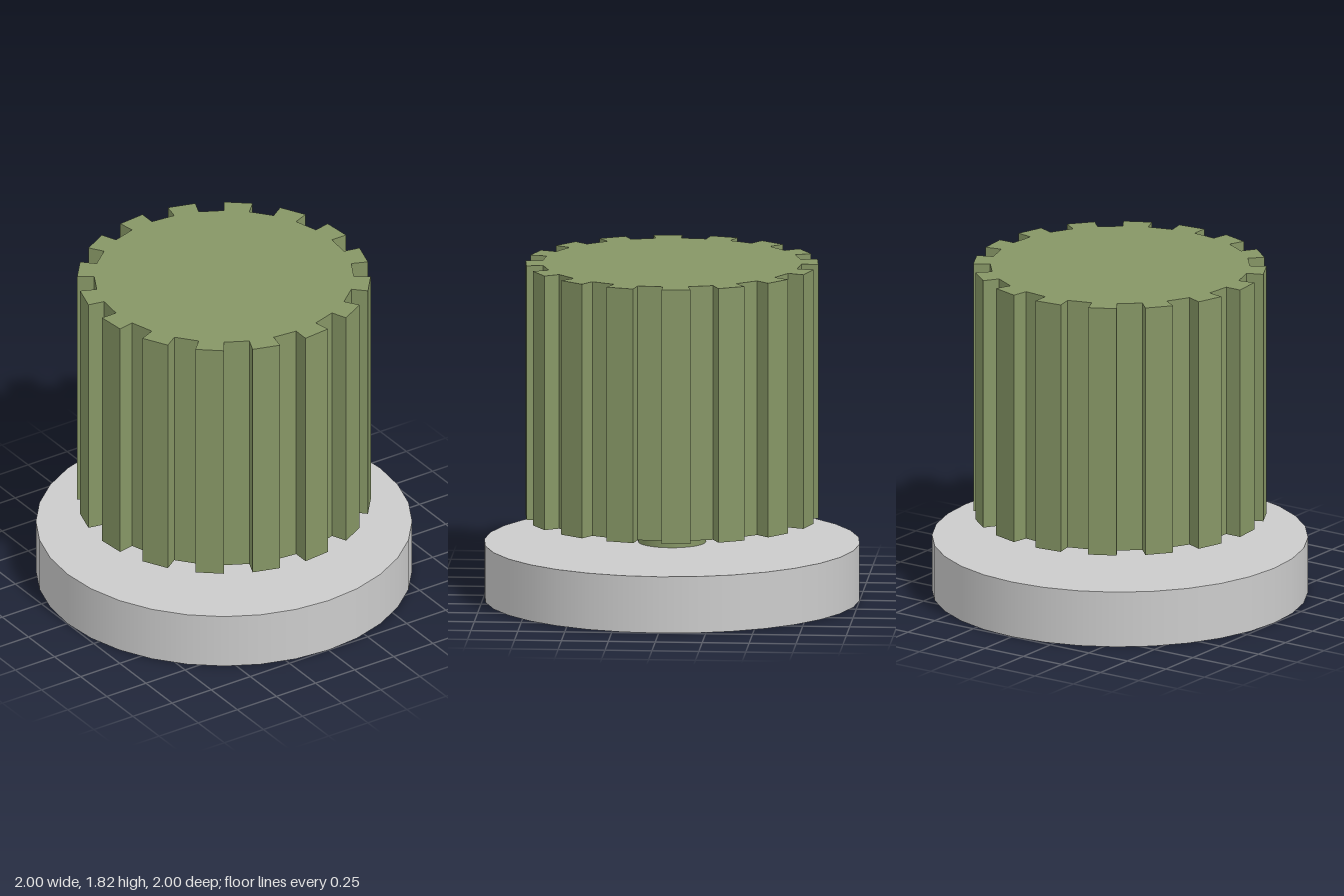
import * as THREE from 'three';

const green = new THREE.MeshStandardMaterial({ color: 0x869665 });
const grey = new THREE.MeshStandardMaterial({ color: 0xcccccc });

// Upright cylinder spanning bottom to top
function disc(name, radius, bottom, top, material) {
  const geometry = new THREE.CylinderGeometry(radius, radius, top - bottom, 32);
  const mesh = new THREE.Mesh(geometry, material);
  mesh.name = name;
  mesh.position.y = (bottom + top) / 2;
  return mesh;
}

// Gear outline: teeth and gaps of equal angle with radial walls
function gearShape(teeth, outer, inner) {
  const steps = teeth * 2;
  const points = [];
  for (let i = 0; i < steps; i++) {
    const radius = i % 2 ? outer : inner;
    for (const k of [i, i + 1]) {
      const a = (k / steps) * Math.PI * 2;
      points.push(new THREE.Vector2(Math.sin(a) * radius, Math.cos(a) * radius));
    }
  }
  return new THREE.Shape(points);
}

export function createModel() {
  const model = new THREE.Group();
  model.name = 'ribbedKnob';

  // Round foot and the short stem above it
  model.add(disc('base', 1, 0, 0.305, grey));
  model.add(disc('stem', 0.18, 0.305, 0.44, green));

  // Ribbed grip with sixteen teeth
  const gripGeometry = new THREE.ExtrudeGeometry(gearShape(16, 0.78, 0.69), {
    depth: 1.375,
    bevelEnabled: false,
  });
  gripGeometry.rotateX(-Math.PI / 2);
  const grip = new THREE.Mesh(gripGeometry, green);
  grip.name = 'ribbedGrip';
  grip.position.y = 0.44;
  model.add(grip);

  return model;
}
